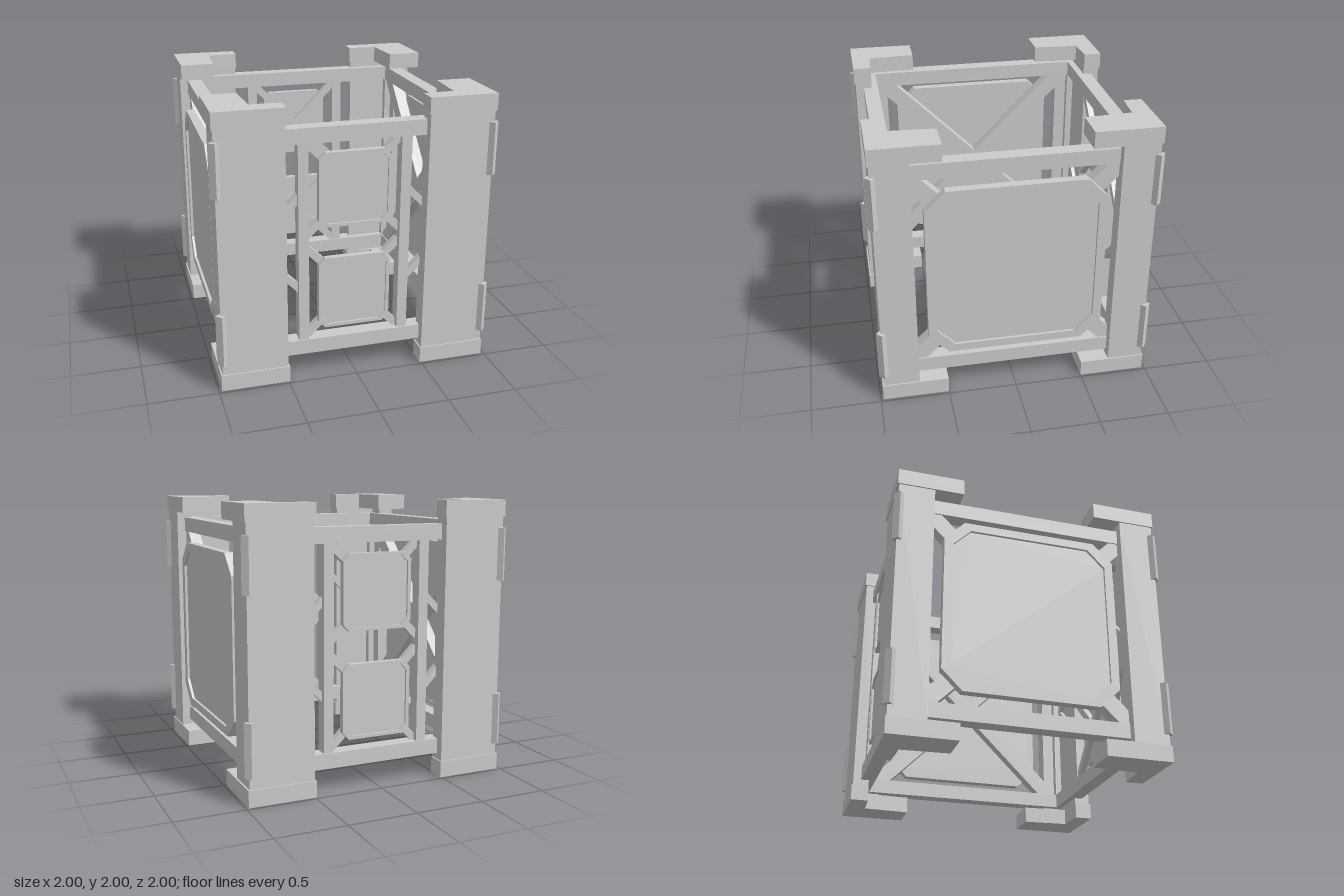
import * as THREE from 'three';

const mat = new THREE.MeshStandardMaterial({ color: 0xcccccc, flatShading: true });

function add(parent, name, geo) {
  const m = new THREE.Mesh(geo, mat);
  m.name = name;
  parent.add(m);
  return m;
}

// box given by its min and max on each axis
function box(parent, name, x0, x1, y0, y1, z0, z1) {
  const m = add(parent, name, new THREE.BoxGeometry(x1 - x0, y1 - y0, z1 - z0));
  m.position.set((x0 + x1) / 2, (y0 + y1) / 2, (z0 + z1) / 2);
  return m;
}

// straight bar between two points of a wall
function strut(parent, name, xa, ya, xb, yb, width, z0, z1) {
  const dx = xb - xa, dy = yb - ya;
  const m = add(parent, name, new THREE.BoxGeometry(Math.hypot(dx, dy), width, z1 - z0));
  m.position.set((xa + xb) / 2, (ya + yb) / 2, (z0 + z1) / 2);
  m.rotation.z = Math.atan2(dy, dx);
}

// rectangle with cut corners
const octagon = (w, h, c, y) => [
  [w - c, -h], [w, c - h], [w, h - c], [w - c, h],
  [c - w, h], [-w, h - c], [-w, c - h], [c - w, -h],
].map(([px, py]) => new THREE.Vector2(px, py + y));

// cut-corner panel: a raised rim around a slightly sunken plate
function panel(parent, name, y, outer, inner, z0, z1, sink) {
  const rim = new THREE.Shape(octagon(...outer, y));
  rim.holes.push(new THREE.Path(octagon(...inner, y)));
  add(parent, name + 'Rim', new THREE.ExtrudeGeometry(rim, { depth: z1 - z0, bevelEnabled: false })).position.z = z0;
  const plate = new THREE.Shape(octagon(...inner, y));
  add(parent, name + 'Plate', new THREE.ExtrudeGeometry(plate, { depth: z1 - z0 - sink, bevelEnabled: false })).position.z = z0;
}

// upright prism from an x,z outline, mirrored into one corner
function prism(parent, name, pts, sx, sz, y0, y1) {
  const shape = new THREE.Shape(pts.map(([x, z]) => new THREE.Vector2(x * sx, -z * sz)));
  const geo = new THREE.ExtrudeGeometry(shape, { depth: y1 - y0, bevelEnabled: false });
  geo.rotateX(-Math.PI / 2);
  add(parent, name, geo).position.y = y0;
}

function rails(wall) {
  box(wall, 'bottomRail', -0.8, 0.8, 0.165, 0.275, 0.8, 0.91);
  box(wall, 'topRail', -0.8, 0.8, 1.725, 1.835, 0.8, 0.91);
}

// front and back: uprights, two small panels on crossed struts
function narrowWall(name) {
  const wall = new THREE.Group();
  wall.name = name;
  rails(wall);
  for (const s of [-1, 1]) {
    box(wall, 'upright', s * 0.365 - 0.037, s * 0.365 + 0.037, 0.275, 1.725, 0.81, 0.9);
    for (const t of [-1, 1]) strut(wall, 'sideBrace', s * 0.36, 1 + t * 0.37, s * 0.73, 1, 0.05, 0.82, 0.87);
  }
  for (const y of [0.62, 1.385]) {
    for (const s of [-1, 1]) strut(wall, 'crossStrut', -0.34, y - s * 0.34, 0.34, y + s * 0.34, 0.055, 0.815, 0.86);
    panel(wall, 'smallPanel', y, [0.26, 0.268, 0.05], [0.235, 0.245, 0.05], 0.86, 0.905, 0.015);
  }
  return wall;
}

// left and right: one large panel on a heavy cross brace
function panelWall(name) {
  const wall = new THREE.Group();
  wall.name = name;
  rails(wall);
  for (const s of [-1, 1]) strut(wall, 'crossBrace', -0.75, 1 - s * 0.75, 0.75, 1 + s * 0.75, 0.12, 0.81, 0.9);
  panel(wall, 'largePanel', 1, [0.63, 0.65, 0.145], [0.568, 0.59, 0.13], 0.895, 0.96, 0.02);
  return wall;
}

export function createModel() {
  const model = new THREE.Group();
  model.name = 'frameCube';

  // walls
  for (const [name, make, angle] of [
    ['frontWall', narrowWall, 0], ['backWall', narrowWall, Math.PI],
    ['leftWall', panelWall, Math.PI / 2], ['rightWall', panelWall, -Math.PI / 2],
  ]) {
    const wall = make(name);
    wall.rotation.y = angle;
    model.add(wall);
  }

  // corner posts with caps, feet and diagonal edge guards
  const postShape = [[0.97, 0.97], [0.5, 0.97], [0.5, 0.85], [0.85, 0.85], [0.85, 0.71], [0.97, 0.71]];
  const capShape = [[0.98, 0.98], [0.49, 0.98], [0.49, 0.85], [0.65, 0.84], [0.71, 0.84], [0.73, 0.5], [0.98, 0.5]];
  for (const sx of [-1, 1]) for (const sz of [-1, 1]) {
    const corner = new THREE.Group();
    corner.name = (sz > 0 ? 'front' : 'back') + (sx > 0 ? 'Left' : 'Right') + 'Corner';
    prism(corner, 'post', postShape, sx, sz, 0.12, 1.88);
    prism(corner, 'foot', capShape, sx, sz, 0, 0.12);
    prism(corner, 'cap', capShape, sx, sz, 1.88, 2);
    const column = add(corner, 'innerColumn', new THREE.BoxGeometry(0.11, 1.67, 0.11));
    column.position.set(sx * 0.855, 1, sz * 0.855);
    for (const y of [0.39, 1.61]) {
      const guard = add(corner, 'edgeGuard', new THREE.BoxGeometry(0.055, 0.38, 0.06));
      guard.position.set(sx * 0.96, y, sz * 0.96);
      guard.rotation.y = Math.atan2(sx, sz);
    }
    model.add(corner);
  }
  return model;
}
